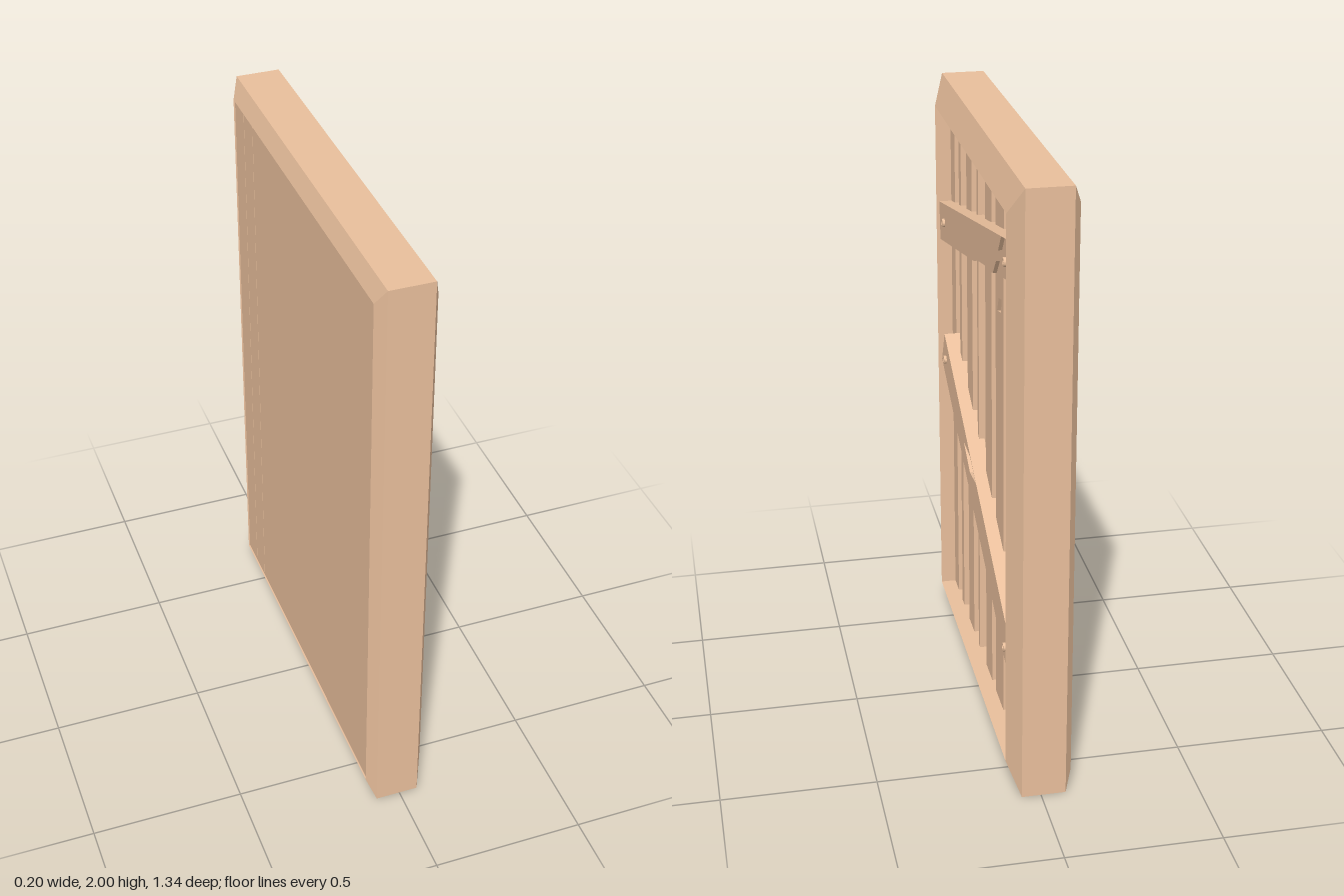
import * as THREE from 'three';

const wood = new THREE.MeshStandardMaterial({ color: 0xe9bf9c, flatShading: true });

// Everything is laid out flat (x across, y up, z depth) and turned to face +x at the end.
export function createModel() {
  const model = new THREE.Group();
  model.name = 'woodenDoor';
  const door = new THREE.Group();
  door.name = 'door';
  door.rotation.y = Math.PI / 2;
  model.add(door);

  const add = (name, geometry, x = 0, y = 0, z = 0) => {
    const mesh = new THREE.Mesh(geometry, wood);
    mesh.name = name;
    mesh.position.set(x, y, z);
    door.add(mesh);
    return mesh;
  };
  const box = (name, x0, x1, y0, y1, z0, z1) =>
    add(name, new THREE.BoxGeometry(x1 - x0, y1 - y0, z1 - z0), (x0 + x1) / 2, (y0 + y1) / 2, (z0 + z1) / 2);
  const toPoints = (list) => list.map(([x, y]) => new THREE.Vector2(x, y));
  const slab = (name, outline, z0, z1, hole) => {
    const shape = new THREE.Shape(toPoints(outline));
    if (hole) shape.holes.push(new THREE.Path(toPoints(hole)));
    return add(name, new THREE.ExtrudeGeometry(shape, { depth: z1 - z0, bevelEnabled: false }), 0, 0, z0);
  };

  add('frame', frameGeometry());

  // Back boards, set just inside the frame's lip, with narrow seams near one edge
  const back = [[-0.635, 0.447], [0.45, 0.537], [0.54, 0.635]];
  for (const [a, b] of back) box('backBoard', a, b, 0.06, 1.94, -0.101, -0.02);
  box('core', -0.62, 0.62, 0.08, 1.92, -0.097, -0.01);

  // Upright planks, alternately proud and sunken, one with a shallow knot
  const seams = [-0.61, -0.52, -0.45, -0.405, -0.31, -0.21, -0.13, -0.1, 0.01, 0.12, 0.18, 0.31, 0.43, 0.53, 0.61];
  const proud = 0.048, sunken = 0.012;
  const knot = [[0.205, 1.47], [0.265, 1.485], [0.275, 1.53], [0.23, 1.52]];
  for (let i = 0; i < seams.length - 1; i++) {
    const a = seams[i] + 0.003, b = seams[i + 1] - 0.003;
    const front = i === 13 ? 0.035 : i % 2 ? sunken : proud;
    slab('plank', [[a, 0.08], [b, 0.08], [b, 1.92], [a, 1.92]], -0.02, front, i === 10 ? knot : null);
  }
  slab('knotFloor', knot, 0, proud - 0.012);

  // Upper brace, split at one end, with sunken splinters behind the cracks
  slab('upperBrace', [
    [-0.58, 1.445], [0.04, 1.577], [0.33, 1.68], [0.29, 1.635], [0.35, 1.645], [0.4, 1.7],
    [0.595, 1.768], [0.595, 1.805], [0.43, 1.742], [0.475, 1.8], [0.59, 1.825], [-0.595, 1.575],
  ], 0.03, 0.09);
  slab('braceSplinter', [[0.04, 1.578], [0.595, 1.695], [0.595, 1.822], [0.04, 1.705]], 0.03, 0.078);

  // Lower brace with a shallow slanted gouge
  const gouge = [[-0.16, 0.865], [-0.05, 0.803], [0.06, 0.812], [-0.045, 0.862]];
  slab('lowerBrace', [[-0.58, 1.0], [0.545, 0.42], [0.597, 0.536], [-0.523, 1.115]], 0.03, 0.09, gouge);
  slab('gougeFloor', gouge, 0.03, 0.076);

  // Nails: a raised ring around a sunken head
  for (const [x, y] of [[-0.495, 1.53], [0.545, 1.747], [-0.495, 1.03], [0.545, 0.48]]) {
    const ring = new THREE.Shape().absarc(0, 0, 0.014, 0, Math.PI * 2);
    ring.holes.push(new THREE.Path().absarc(0, 0, 0.008, 0, Math.PI * 2));
    const ringGeometry = new THREE.ExtrudeGeometry(ring, { depth: 0.025, bevelEnabled: false, curveSegments: 10 });
    add('nailRing', ringGeometry, x, y, 0.074);
    add('nailHead', new THREE.CylinderGeometry(0.009, 0.009, 0.016, 10), x, y, 0.084).rotation.x = Math.PI / 2;
  }
  return model;
}

// Mitred frame: a bevelled section carried round four corners
function frameGeometry() {
  const section = [ // inset across, inset up, depth
    [0.045, 0.066, -0.098], [0.04, 0.06, -0.105], [0, 0, -0.08],
    [0, 0, 0.062], [0.075, 0.092, 0.1], [0.075, 0.092, -0.03],
  ];
  const corners = [[-1, -1], [1, -1], [1, 1], [-1, 1]];
  const positions = [], index = [];
  for (const [dx, dy, z] of section)
    for (const [sx, sy] of corners) positions.push(sx * (0.672 - dx), 1 + sy * (1 - dy), z);
  for (let i = 0; i < section.length - 1; i++)
    for (let k = 0; k < 4; k++) {
      const a = i * 4 + k, b = i * 4 + (k + 1) % 4;
      index.push(a, b, b + 4, a, b + 4, a + 4);
    }
  const indexed = new THREE.BufferGeometry();
  indexed.setAttribute('position', new THREE.Float32BufferAttribute(positions, 3));
  indexed.setIndex(index);
  const geometry = indexed.toNonIndexed();
  geometry.computeVertexNormals();
  return geometry;
}
